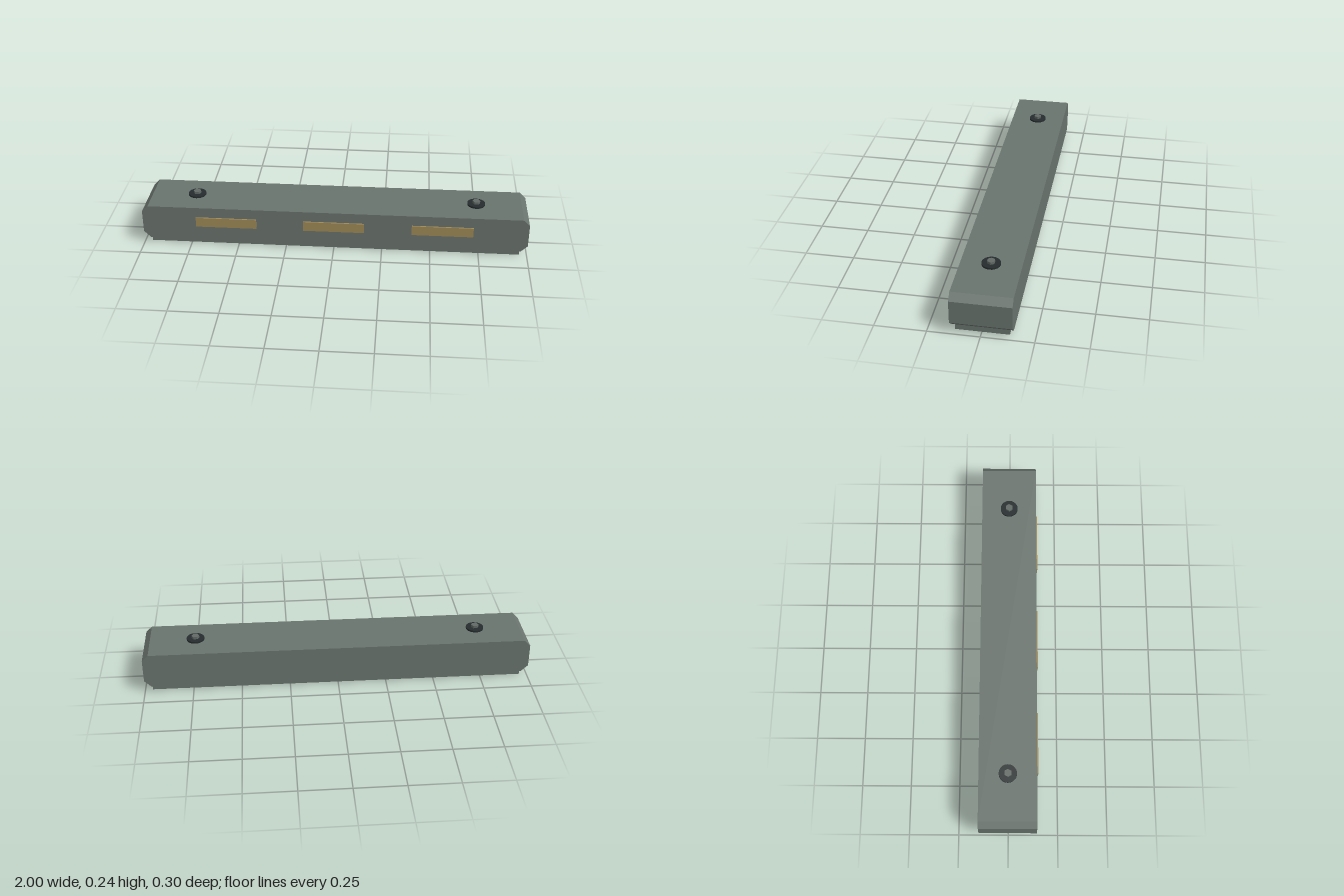
import * as THREE from 'three';

const flat = (name, color) => {
  const m = new THREE.MeshStandardMaterial({ color });
  m.name = name;
  return m;
};

export function createModel() {
  const group = new THREE.Group();
  const stone = flat('grey green', 0x6a746e);
  const brass = flat('dull gold', 0xa08a58);
  const dark = flat('dark iron', 0x262d2e);
  const steel = flat('bolt grey', 0x626a66);

  const add = (name, geometry, material, x, y, z) => {
    const mesh = new THREE.Mesh(geometry, material);
    mesh.name = name;
    mesh.position.set(x, y, z);
    group.add(mesh);
    return mesh;
  };

  // Long beam with chamfered ends
  const outline = new THREE.Shape([
    [-0.965, 0.03], [0.965, 0.03], [1, 0.064], [1, 0.184],
    [0.968, 0.216], [-0.968, 0.216], [-1, 0.184], [-1, 0.064],
  ].map(([x, y]) => new THREE.Vector2(x, y)));
  const beam = new THREE.ExtrudeGeometry(outline, { depth: 0.292, bevelEnabled: false });
  add('beam', beam, stone, 0, 0, -0.149);

  // Recessed plinth underneath
  add('plinth', new THREE.BoxGeometry(1.924, 0.03, 0.255), stone, 0, 0.015, -0.003);

  // Inlaid strips on the front
  for (const x of [-0.56, 0, 0.56]) {
    add('frontStrip', new THREE.BoxGeometry(0.316, 0.052, 0.008), brass, x, 0.135, 0.146);
  }

  // Washer and hexagonal bolt near each end
  for (const x of [-0.732, 0.732]) {
    add('washer', new THREE.CylinderGeometry(0.046, 0.046, 0.009, 20), dark, x, 0.2215, -0.003);
    const bolt = new THREE.CylinderGeometry(0.02, 0.02, 0.013, 6).toNonIndexed();
    bolt.computeVertexNormals();
    add('boltHead', bolt, steel, x, 0.2325, -0.003).rotation.y = Math.PI / 2;
  }

  return group;
}
